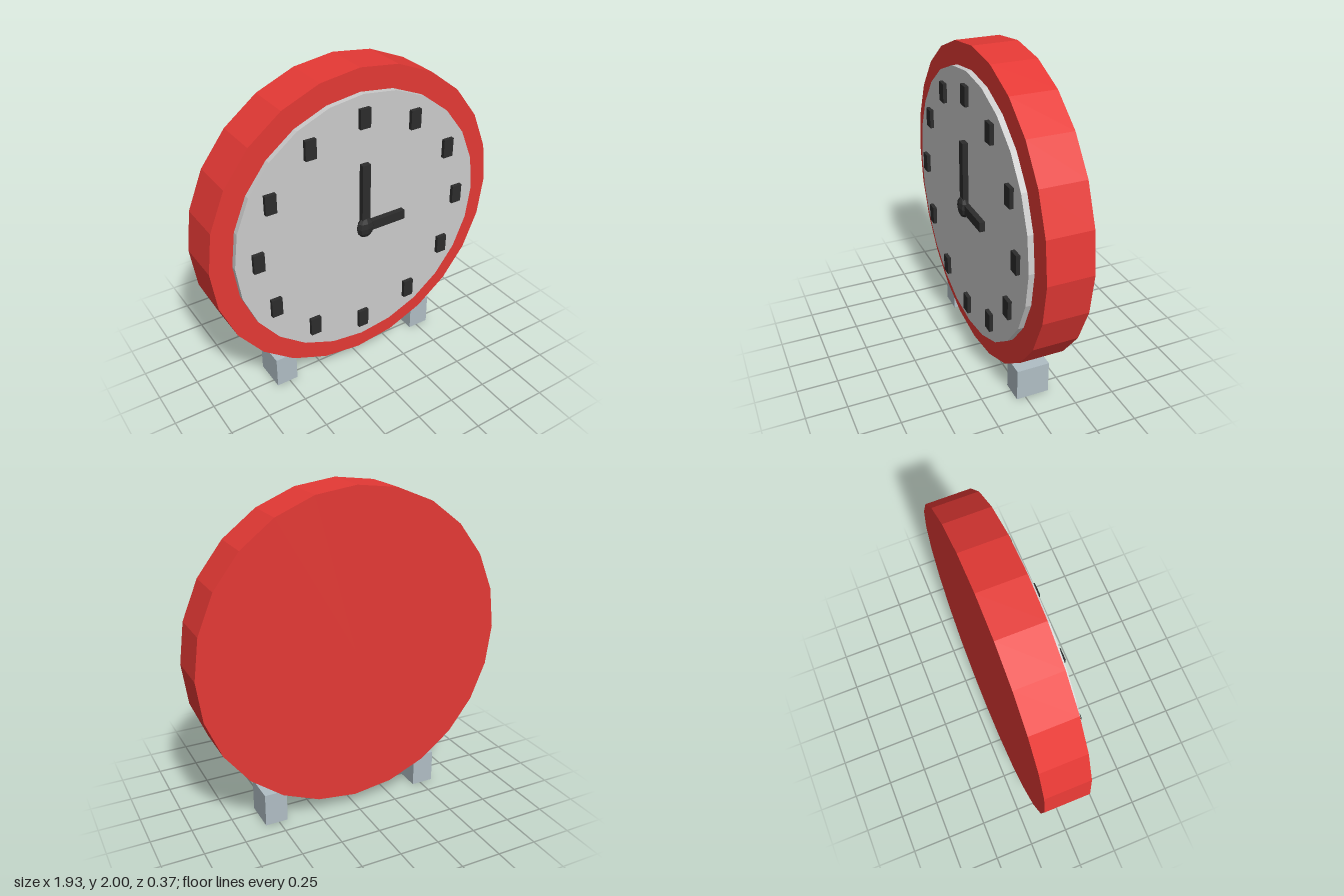
import * as THREE from 'three';

const CENTER_Y = 1.037;

const paint = (color) => new THREE.MeshStandardMaterial({ color, flatShading: true });

export function createModel() {
  const clock = new THREE.Group();
  clock.name = 'clock';

  const red = paint(0xe53935);
  const grey = paint(0xcccccc);
  const black = paint(0x2c2c2c);
  const blueGrey = paint(0xb0bec5);

  function add(parent, name, geometry, material, x, y, z) {
    const mesh = new THREE.Mesh(geometry, material);
    mesh.name = name;
    mesh.position.set(x, y, z);
    parent.add(mesh);
    return mesh;
  }

  // Disc facing +z, spanning z0 to z1
  function disc(name, radius, z0, z1, material) {
    const geometry = new THREE.CylinderGeometry(radius, radius, z1 - z0, 24).rotateX(Math.PI / 2);
    return add(clock, name, geometry, material, 0, CENTER_Y, (z0 + z1) / 2);
  }

  // Case and dial
  disc('case', 0.963, -0.185, 0.09, red);
  disc('dial', 0.826, 0.03, 0.124, grey);

  // Twelve upright hour markers
  const markers = new THREE.Group();
  markers.name = 'hourMarkers';
  clock.add(markers);
  const markerGeometry = new THREE.BoxGeometry(0.068, 0.118, 0.035);
  for (let i = 0; i < 12; i++) {
    const a = (i / 12) * Math.PI * 2;
    add(markers, 'hourMarker', markerGeometry, black,
      Math.sin(a) * 0.69, CENTER_Y + Math.cos(a) * 0.69, 0.13);
  }

  // Hands at three o'clock, with a flattened hub
  add(clock, 'minuteHand', new THREE.BoxGeometry(0.053, 0.413, 0.034), black, 0, CENTER_Y + 0.2065, 0.146);
  add(clock, 'hourHand', new THREE.BoxGeometry(0.275, 0.06, 0.034), black, 0.1375, CENTER_Y, 0.146);
  const hub = add(clock, 'hub', new THREE.SphereGeometry(0.067, 8, 6), black, 0, CENTER_Y, 0.152);
  hub.scale.set(0.87, 1, 0.5);

  // Feet
  for (const side of [-1, 1]) {
    add(clock, side > 0 ? 'leftFoot' : 'rightFoot',
      new THREE.BoxGeometry(0.14, 0.206, 0.206), blueGrey, side * 0.515, 0.103, -0.047);
  }

  return clock;
}
